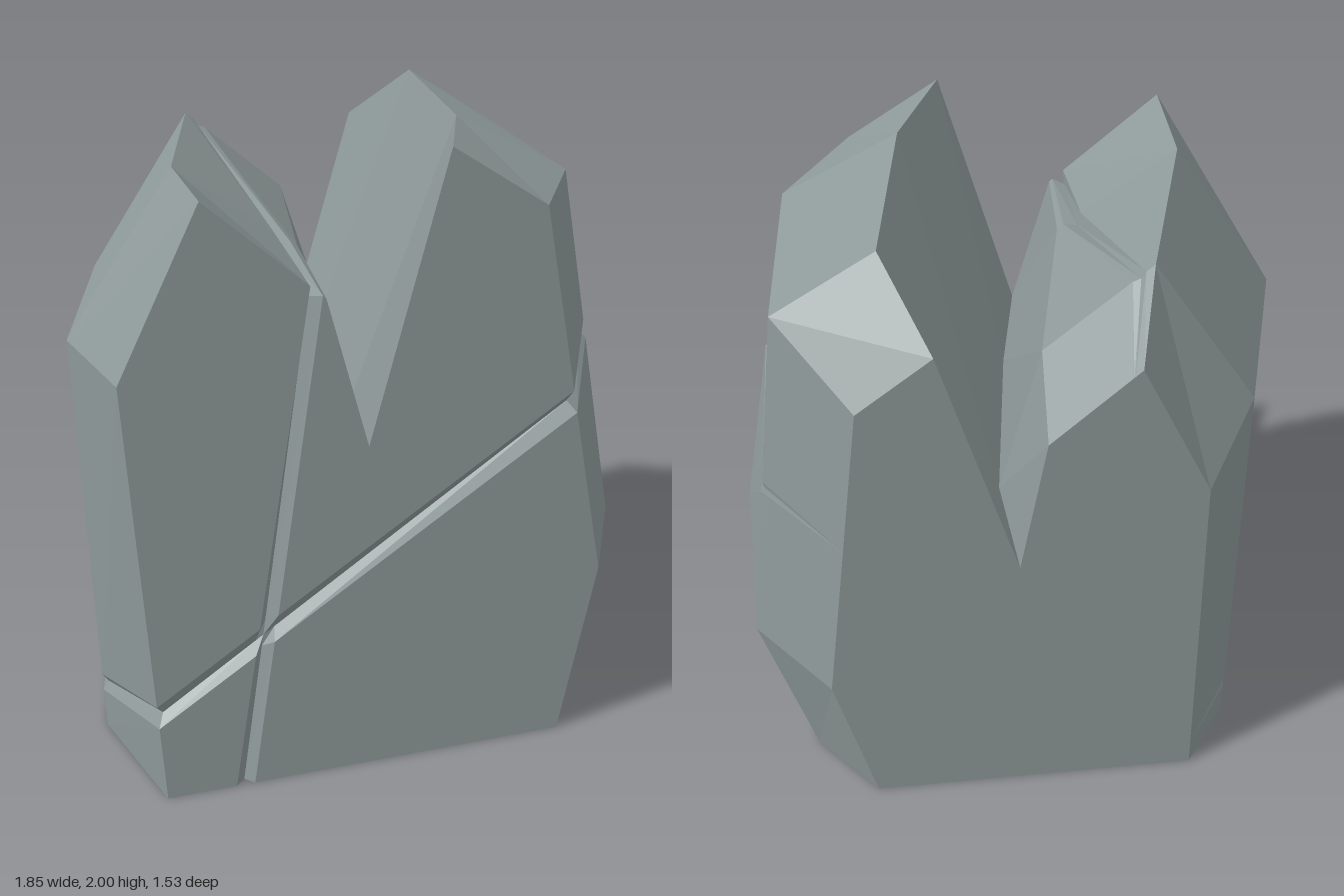
import * as THREE from 'three';

// Cross-sections from front to back. Corners run counter-clockwise:
// base left, base right, flank, right shoulder, right peak, cleft, cleft lip, left peak, left shoulder.
// Grooves are [position along edge, half width, depth] for: base, right flank, left slope, left flank.
const SECTIONS = [
  {
    z: (x, y) => 0.724 - 0.056 * x - 0.04 * y,
    corners: [[-0.74, 0], [0.59, 0], [0.72, 0.57], [0.5, 1.8], [0.19, 2], [-0.07, 1.1], [-0.2, 1.58], [-0.57, 1.9], [-0.83, 1.38]],
    grooves: [[0.19, 0.03, 0], [0.48, 0.038, 0.02], [0.08, 0.025, 0.03], [0.79, 0.038, 0.02]],
  },
  {
    z: (x, y) => 0.27 - 0.03 * x - 0.01 * y,
    corners: [[-0.87, 0], [0.74, 0], [0.925, 0.57], [0.71, 1.8], [0.33, 2], [-0.01, 1.1], [-0.19, 1.62], [-0.58, 1.9], [-0.925, 1.38]],
    grooves: [[0.25, 0.02, 0], [0.55, 0.033, 0.025], [0.13, 0.035, 0.03], [0.88, 0.03, 0.02]],
  },
  {
    z: (x, y) => -0.44 - 0.05 * x - 0.02 * y,
    corners: [[-0.755, 0], [0.69, 0], [0.86, 0.57], [0.72, 1.8], [0.4, 2], [0.05, 1.1], [-0.08, 1.62], [-0.41, 1.9], [-0.75, 1.39]],
    grooves: [[0.3, 0.01, 0], [0.49, 0.02, 0.006], [0.86, 0.025, 0.008], [0.905, 0.02, 0.008]],
  },
  {
    z: (x, y) => -0.683 - 0.056 * x - 0.035 * y,
    corners: [[-0.6, 0], [0.48, 0], [0.61, 0.51], [0.48, 1.62], [0.25, 1.8], [0, 0.98], [-0.08, 1.46], [-0.35, 1.71], [-0.58, 1.24]],
    grooves: [[0.3, 0.005, 0], [0.53, 0.005, 0], [0.9, 0.005, 0], [0.93, 0.005, 0]],
  },
];
const GROOVED_EDGES = [0, 2, 6, 8];
const FRONT_INSET = 0.03;

// Lip, valley and lip of a V groove cut across the edge a-b
function cutGroove(a, b, [t, half, depth]) {
  const dx = b[0] - a[0], dy = b[1] - a[1], len = Math.hypot(dx, dy);
  return [-half, 0, half].map((s) => {
    const k = t + s / len, inset = s === 0 ? depth / len : 0;
    return [a[0] + dx * k - dy * inset, a[1] + dy * k + dx * inset];
  });
}

function buildRing({ corners, grooves, z }) {
  const ring = [];
  corners.forEach((c, i) => {
    ring.push(c);
    const g = GROOVED_EDGES.indexOf(i);
    if (g >= 0) ring.push(...cutGroove(c, corners[(i + 1) % corners.length], grooves[g]));
  });
  return ring.map(([x, y]) => new THREE.Vector3(x, y, z(x, y)));
}

// Where the lines a-b and c-d meet on the front plane
function crossing(a, b, c, d) {
  const rx = b.x - a.x, ry = b.y - a.y, sx = d.x - c.x, sy = d.y - c.y;
  const t = ((c.x - a.x) * sy - (c.y - a.y) * sx) / (rx * sy - ry * sx);
  const x = a.x + rx * t, y = a.y + ry * t;
  return new THREE.Vector3(x, y, SECTIONS[0].z(x, y));
}

export function createModel() {
  const rings = SECTIONS.map(buildRing);
  const front = rings[0], n = front.length;
  const positions = [];
  const triangle = (...points) => points.forEach((p) => positions.push(p.x, p.y, p.z));
  const polygon = (points, flip = false) => {
    const outline = points.map((p) => new THREE.Vector2(p.x, p.y));
    for (const [a, b, c] of THREE.ShapeUtils.triangulateShape(outline, [])) {
      if (flip) triangle(points[a], points[c], points[b]);
      else triangle(points[a], points[b], points[c]);
    }
  };

  // Crossing of the long diagonal groove (rows) and the steep crack (columns)
  const cross = [0, 1, 2].map((row) => [0, 1, 2].map((col) => {
    const p = crossing(front[20 - row], front[6 + row], front[1 + col], front[15 - col]);
    if (row === 1 || col === 1) p.z -= FRONT_INSET;
    return p;
  }));
  for (const i of [2, 7, 14, 19]) front[i].z -= FRONT_INSET;

  // Sides, top, cleft and base
  for (let s = 0; s < rings.length - 1; s++) {
    for (let i = 0; i < n; i++) {
      const j = (i + 1) % n;
      const a = rings[s][i], b = rings[s][j], c = rings[s + 1][j], d = rings[s + 1][i];
      triangle(a, d, c);
      triangle(a, c, b);
    }
  }

  // Four flat panels of the front
  const pick = (...ids) => ids.map((i) => front[i]);
  polygon([...pick(0, 1), cross[0][0], front[20]]);
  polygon([...pick(3, 4, 5, 6), cross[0][2]]);
  polygon([...pick(8, 9, 10, 11, 12, 13), cross[2][2]]);
  polygon([...pick(15, 16, 17, 18), cross[2][0]]);

  // Groove walls on the front
  for (let k = 0; k < 2; k++) {
    polygon([front[20 - k], cross[k][0], cross[k + 1][0], front[19 - k]]);
    polygon([cross[k][2], front[6 + k], front[7 + k], cross[k + 1][2]]);
    polygon([front[1 + k], front[2 + k], cross[0][k + 1], cross[0][k]]);
    polygon([cross[2][k], cross[2][k + 1], front[14 - k], front[15 - k]]);
    for (let m = 0; m < 2; m++) {
      polygon([cross[k][m], cross[k][m + 1], cross[k + 1][m + 1], cross[k + 1][m]]);
    }
  }

  // Back
  polygon(rings[rings.length - 1], true);

  const geometry = new THREE.BufferGeometry();
  geometry.setAttribute('position', new THREE.Float32BufferAttribute(positions, 3));
  geometry.computeVertexNormals();
  const rock = new THREE.Mesh(geometry, new THREE.MeshStandardMaterial({ color: 0x8f9a9a, flatShading: true }));
  rock.name = 'cleftRock';

  const model = new THREE.Group();
  model.name = 'rock';
  model.add(rock);
  return model;
}
